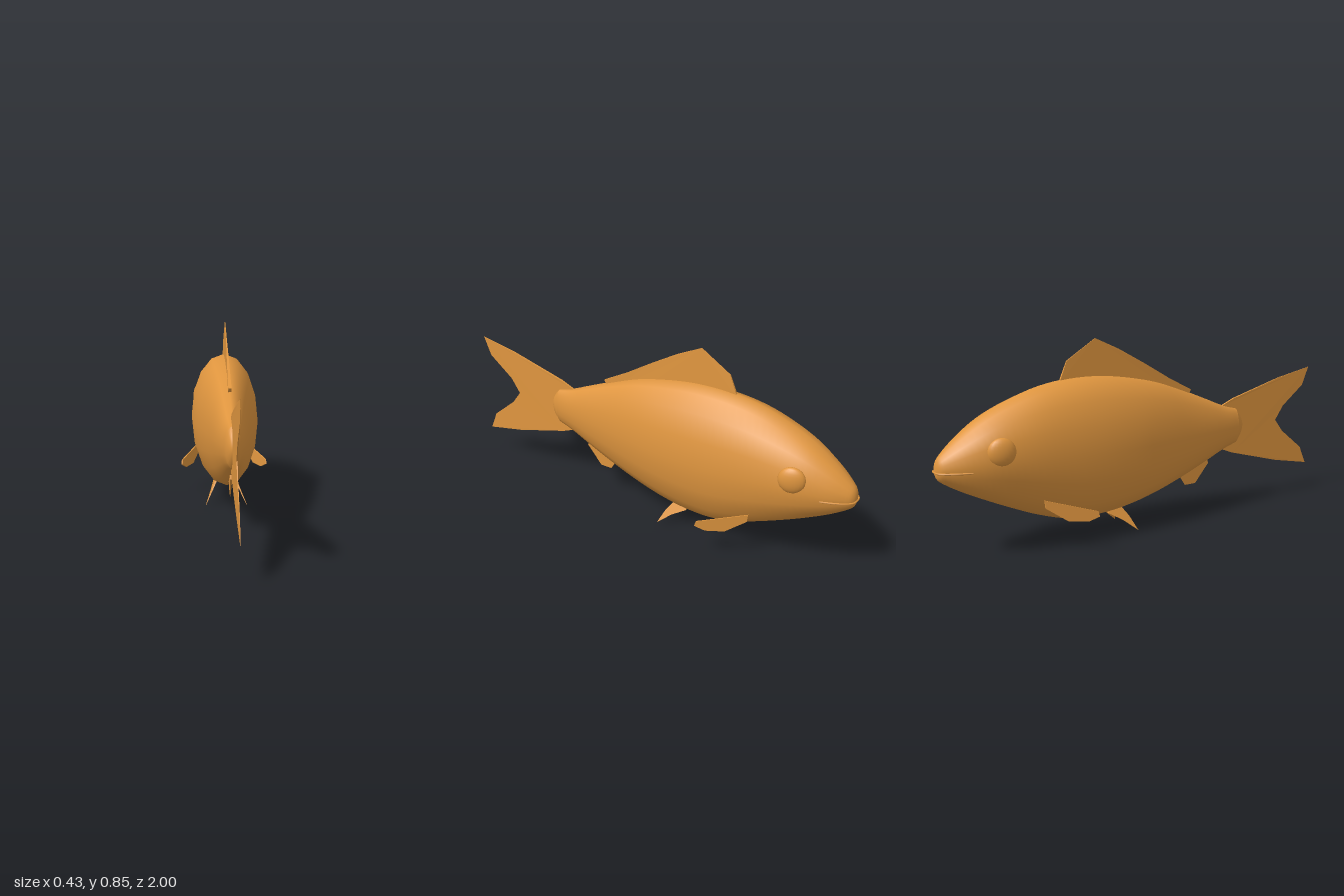
import * as THREE from 'three';

const SIDES = 16;

// Smooth tube of oval rings; each station is [z, top, bottom, half width]
function loft(stations, steps) {
  const outline = new THREE.CatmullRomCurve3(
    stations.map(([z, t, b]) => new THREE.Vector3(z, t, b)), false, 'catmullrom', 0.5);
  const widths = new THREE.CatmullRomCurve3(
    stations.map((s) => new THREE.Vector3(s[3], 0, 0)), false, 'catmullrom', 0.5);
  const pos = [], index = [];
  for (let i = 0; i <= steps; i++) {
    const { x: z, y: top, z: bottom } = outline.getPoint(i / steps);
    const w = Math.max(0, widths.getPoint(i / steps).x);
    for (let j = 0; j < SIDES; j++) {
      const a = (j / SIDES) * Math.PI * 2;
      pos.push(w * Math.sin(a), (top + bottom) / 2 + ((top - bottom) / 2) * Math.cos(a), z);
      if (i < steps) {
        const p = i * SIDES + j, q = i * SIDES + ((j + 1) % SIDES);
        index.push(p, p + SIDES, q, q, p + SIDES, q + SIDES);
      }
    }
  }
  const g = new THREE.BufferGeometry();
  g.setAttribute('position', new THREE.Float32BufferAttribute(pos, 3));
  g.setIndex(index);
  g.computeVertexNormals();
  return g;
}

// Thin fin from [z, y] points; taper(z, y) scales thickness, lean(z, y) moves it sideways
function fin(points, thickness, taper, lean = () => 0) {
  const shape = new THREE.Shape(points.map(([z, y]) => new THREE.Vector2(-z, y)));
  const g = new THREE.ExtrudeGeometry(shape, { depth: thickness, bevelEnabled: false });
  g.translate(0, 0, -thickness / 2).rotateY(Math.PI / 2);
  const p = g.attributes.position;
  for (let i = 0; i < p.count; i++) {
    const y = p.getY(i), z = p.getZ(i);
    const k = THREE.MathUtils.clamp(taper(z, y), 0.15, 1);
    p.setX(i, p.getX(i) * k + lean(z, y));
  }
  g.computeVertexNormals();
  return g;
}

export function createModel() {
  const fish = new THREE.Group();
  fish.name = 'fish';
  const orange = new THREE.MeshStandardMaterial({ name: 'orange', color: 0xe0963f });
  const finOrange = orange.clone();
  finOrange.name = 'finOrange';
  finOrange.side = THREE.DoubleSide;
  const add = (name, geometry, material = orange) => {
    const mesh = new THREE.Mesh(geometry, material);
    mesh.name = name;
    fish.add(mesh);
    return mesh;
  };

  // Body from nose to tail root
  add('body', loft([
    [-1, 0.375, 0.373, 0.001],
    [-0.993, 0.412, 0.344, 0.026],
    [-0.97, 0.442, 0.322, 0.05],
    [-0.9, 0.503, 0.28, 0.09],
    [-0.8, 0.572, 0.23, 0.125],
    [-0.68, 0.628, 0.175, 0.145],
    [-0.55, 0.67, 0.122, 0.156],
    [-0.4, 0.692, 0.08, 0.16],
    [-0.25, 0.692, 0.077, 0.156],
    [-0.1, 0.673, 0.098, 0.142],
    [0.05, 0.64, 0.135, 0.117],
    [0.2, 0.588, 0.185, 0.089],
    [0.33, 0.537, 0.236, 0.068],
    [0.43, 0.497, 0.277, 0.05],
    [0.515, 0.475, 0.302, 0.033],
  ], 56));
  // Domed end of the body around the tail root
  add('tailRoot', loft([
    [0.515, 0.475, 0.302, 0.033],
    [0.54, 0.445, 0.332, 0.022],
    [0.556, 0.412, 0.365, 0.01],
    [0.56, 0.39, 0.388, 0.001],
  ], 6));

  // Flattened eye bulges
  for (const s of [1, -1]) {
    const eye = add(s > 0 ? 'leftEye' : 'rightEye', new THREE.SphereGeometry(0.057, 20, 14));
    eye.scale.set(0.45, 1, 1);
    eye.position.set(s * 0.122, 0.445, -0.77);
    eye.rotation.y = s * 0.25;
  }

  // Mouth line wrapped around the nose
  const lip = [[0.094, -0.88], [0.073, -0.935], [0.052, -0.972], [0.028, -0.996]];
  const lipCurve = new THREE.CatmullRomCurve3([
    ...lip.map(([x, z]) => new THREE.Vector3(x, 0.37, z)),
    new THREE.Vector3(0, 0.37, -1),
    ...lip.map(([x, z]) => new THREE.Vector3(-x, 0.37, z)).reverse(),
  ]);
  add('mouth', new THREE.TubeGeometry(lipCurve, 28, 0.004, 6));

  // Fins on the centre line
  add('dorsalFin', fin([
    [0.24, 0.59], [0.12, 0.65], [-0.02, 0.73], [-0.15, 0.8], [-0.27, 0.853],
    [-0.41, 0.765], [-0.45, 0.67], [-0.35, 0.62], [0.05, 0.58], [0.21, 0.54],
  ], 0.014, (z, y) => (0.86 - y) / 0.25), finOrange);
  add('tailFin', fin([
    [1, 0.64], [0.96, 0.55], [0.83, 0.455], [0.78, 0.387], [0.83, 0.325], [0.96, 0.225],
    [1, 0.138], [0.79, 0.178], [0.5, 0.255], [0.42, 0.285], [0.42, 0.49], [0.5, 0.522], [0.79, 0.6],
  ], 0.01, (z) => (1 - z) / 0.5), finOrange);
  add('analFin', fin([
    [0.35, 0.225], [0.275, 0.135], [0.215, 0.135], [0.175, 0.195], [0.2, 0.26], [0.33, 0.27],
  ], 0.012, (z, y) => (y - 0.13) / 0.12), finOrange);

  // Paired fins, leaning outward on each side
  for (const s of [1, -1]) {
    const side = s > 0 ? 'left' : 'right';
    add(side + 'PectoralFin', fin([
      [-0.59, 0.22], [-0.39, 0.163], [-0.383, 0.14], [-0.425, 0.12], [-0.5, 0.125], [-0.585, 0.185],
    ], 0.006, () => 1, (z, y) => s * (0.21 + 0.46 * (z + 0.385) + 0.07 * (y - 0.15))), finOrange);
    add(side + 'PelvicFin', fin([
      [-0.115, 0], [-0.145, 0.065], [-0.175, 0.108], [-0.24, 0.115], [-0.245, 0.09], [-0.18, 0.052],
    ].reverse(), 0.01, (z, y) => y / 0.1, (z, y) => s * (0.096 - 0.47 * y)), finOrange);
  }
  return fish;
}
